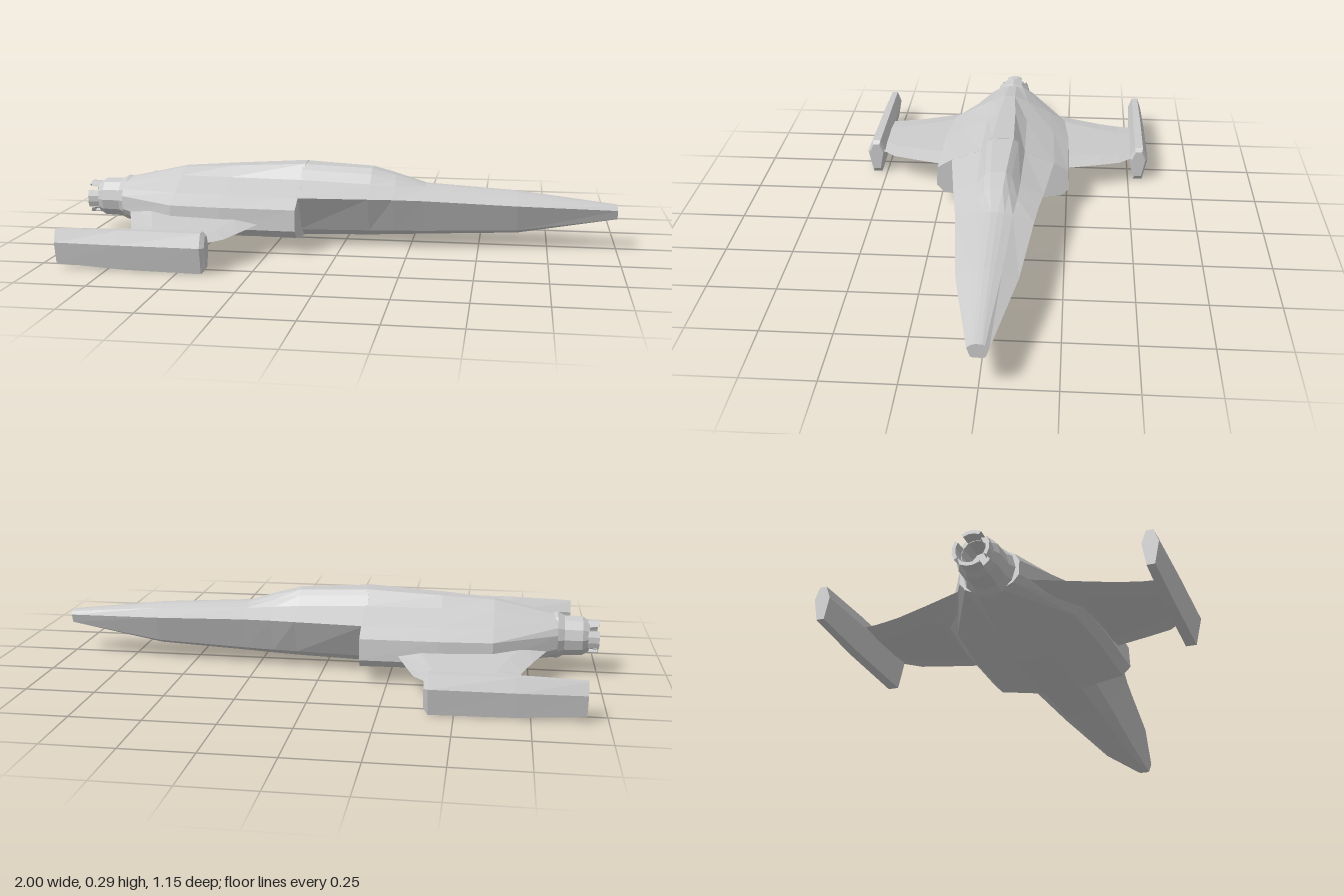
import * as THREE from 'three';

const material = new THREE.MeshStandardMaterial({ color: 0xcccccc, flatShading: true, side: THREE.DoubleSide });

// Skin a list of equal-length closed rings of [x, y, z] and cap both ends
function loft(name, rings, side = 1) {
  if (side < 0) rings = rings.map(r => r.map(([x, y, z]) => [x, y, -z]).reverse());
  const n = rings[0].length, pos = rings.flat(2), index = [];
  for (let s = 0; s < rings.length - 1; s++) {
    for (let i = 0; i < n; i++) {
      const a = s * n + i, b = s * n + (i + 1) % n;
      index.push(a, a + n, b + n, a, b + n, b);
    }
  }
  [0, rings.length - 1].forEach((s, end) => {
    const c = pos.length / 3;
    for (let k = 0; k < 3; k++) pos.push(rings[s].reduce((t, p) => t + p[k], 0) / n);
    for (let i = 0; i < n; i++) {
      const a = s * n + i, b = s * n + (i + 1) % n;
      index.push(c, ...(end ? [b, a] : [a, b]));
    }
  });
  const g = new THREE.BufferGeometry();
  g.setAttribute('position', new THREE.Float32BufferAttribute(pos, 3));
  g.setIndex(index);
  return part(name, g);
}

function part(name, geometry) {
  const g = geometry.index ? geometry.toNonIndexed() : geometry;
  g.computeVertexNormals();
  const mesh = new THREE.Mesh(g, material);
  mesh.name = name;
  return mesh;
}

// Half outline [z, y] from bottom to top, mirrored into a full ring at x
const ring = (x, half, cz = 0) => [
  ...half.map(([z, y]) => [x, y, cz + z]),
  ...half.slice().reverse().map(([z, y]) => [x, y, cz - z]),
];

export function createModel() {
  const model = new THREE.Group();
  model.name = 'spacecraft';

  // Long tapering nose with the front of the canopy
  model.add(loft('noseFuselage', [
    ring(-0.16, [[0.07, 0.03], [0.12, 0.06], [0.2, 0.195], [0.085, 0.24], [0.06, 0.275], [0.04, 0.293]]),
    ring(0.1, [[0.065, 0.037], [0.105, 0.062], [0.167, 0.191], [0.08, 0.23], [0.05, 0.262], [0.028, 0.281]]),
    ring(0.19, [[0.06, 0.04], [0.1, 0.063], [0.153, 0.189], [0.075, 0.222], [0.045, 0.245], [0.022, 0.258]]),
    ring(0.3, [[0.055, 0.045], [0.09, 0.064], [0.14, 0.186], [0.065, 0.212], [0.035, 0.221], [0.012, 0.225]]),
    ring(0.64, [[0.04, 0.058], [0.065, 0.072], [0.105, 0.17], [0.05, 0.195], [0.025, 0.203], [0.01, 0.206]]),
    ring(1, [[0.015, 0.115], [0.024, 0.118], [0.035, 0.15], [0.022, 0.161], [0.014, 0.164], [0.006, 0.165]]),
  ]));

  // Broad rear hull with a step where the nose enters it
  model.add(loft('rearHull', [
    ring(-0.85, [[0.04, 0.065], [0.08, 0.085], [0.1, 0.11], [0.1, 0.16], [0.085, 0.185], [0.045, 0.208], [0.015, 0.216]]),
    ring(-0.62, [[0.06, 0.04], [0.205, 0.065], [0.235, 0.09], [0.232, 0.16], [0.17, 0.195], [0.075, 0.243], [0.02, 0.266]]),
    ring(-0.43, [[0.07, 0.028], [0.225, 0.057], [0.255, 0.085], [0.252, 0.162], [0.19, 0.195], [0.08, 0.242], [0.033, 0.278]]),
    ring(-0.15, [[0.07, 0.027], [0.23, 0.055], [0.26, 0.085], [0.255, 0.162], [0.2, 0.195], [0.085, 0.24], [0.042, 0.294]]),
  ]));

  // Wings [z, leading x, trailing x, bottom y, top y] and wingtip pods
  const span = [
    [0.1, -0.24, -0.82, 0.085, 0.13], [0.26, -0.29, -0.76, 0.09, 0.12],
    [0.38, -0.33, -0.72, 0.091, 0.112], [0.46, -0.36, -0.705, 0.091, 0.106],
    [0.515, -0.41, -0.7, 0.091, 0.103],
  ];
  const podHalf = (w, bottom, top) => [[0.018 * w, bottom], [0.037 * w, 0.093], [0.016 * w, top]];
  for (const side of [1, -1]) {
    const label = side > 0 ? 'left' : 'right';
    model.add(loft(label + 'Wing', span.map(([z, lead, trail, y0, y1]) => {
      const m = (y0 + y1) / 2, f = lead - 0.08, b = trail + 0.08;
      return [[lead, m, z], [f, y0, z], [b, y0, z], [trail, m, z], [b, y1, z], [f, y1, z]];
    }), side));
    model.add(loft(label + 'Pod', [
      ring(-0.93, podHalf(0.72, 0.018, 0.135), 0.54),
      ring(-0.7, podHalf(0.92, 0.004, 0.141), 0.54),
      ring(-0.415, podHalf(1, 0, 0.141), 0.54),
      ring(-0.4, podHalf(0.75, 0.02, 0.128), 0.54),
    ], side));
  }

  // Engine nozzle, hollow at the back
  const engine = new THREE.Group();
  engine.name = 'engine';
  const profile = [[0.075, 0.8], [0.088, 0.85], [0.075, 0.875], [0.073, 0.94], [0.058, 0.965], [0.045, 0.965], [0.04, 0.9], [0, 0.9]];
  engine.add(part('nozzle', new THREE.LatheGeometry(profile.map(p => new THREE.Vector2(...p)), 12).rotateZ(Math.PI / 2)));

  // Four curved petals around the exhaust, separated by notches
  for (let i = 0; i < 4; i++) {
    const start = i * Math.PI / 2 - 0.55;
    const outline = [[0.045, 0.955], [0.06, 0.955], [0.062, 1], [0.05, 1], [0.045, 0.955]];
    const petal = new THREE.LatheGeometry(outline.map(p => new THREE.Vector2(...p)), 3, start, 1.1);
    engine.add(part('exhaustPetal', petal.rotateZ(Math.PI / 2)));
  }
  engine.position.y = 0.137;
  model.add(engine);
  return model;
}
